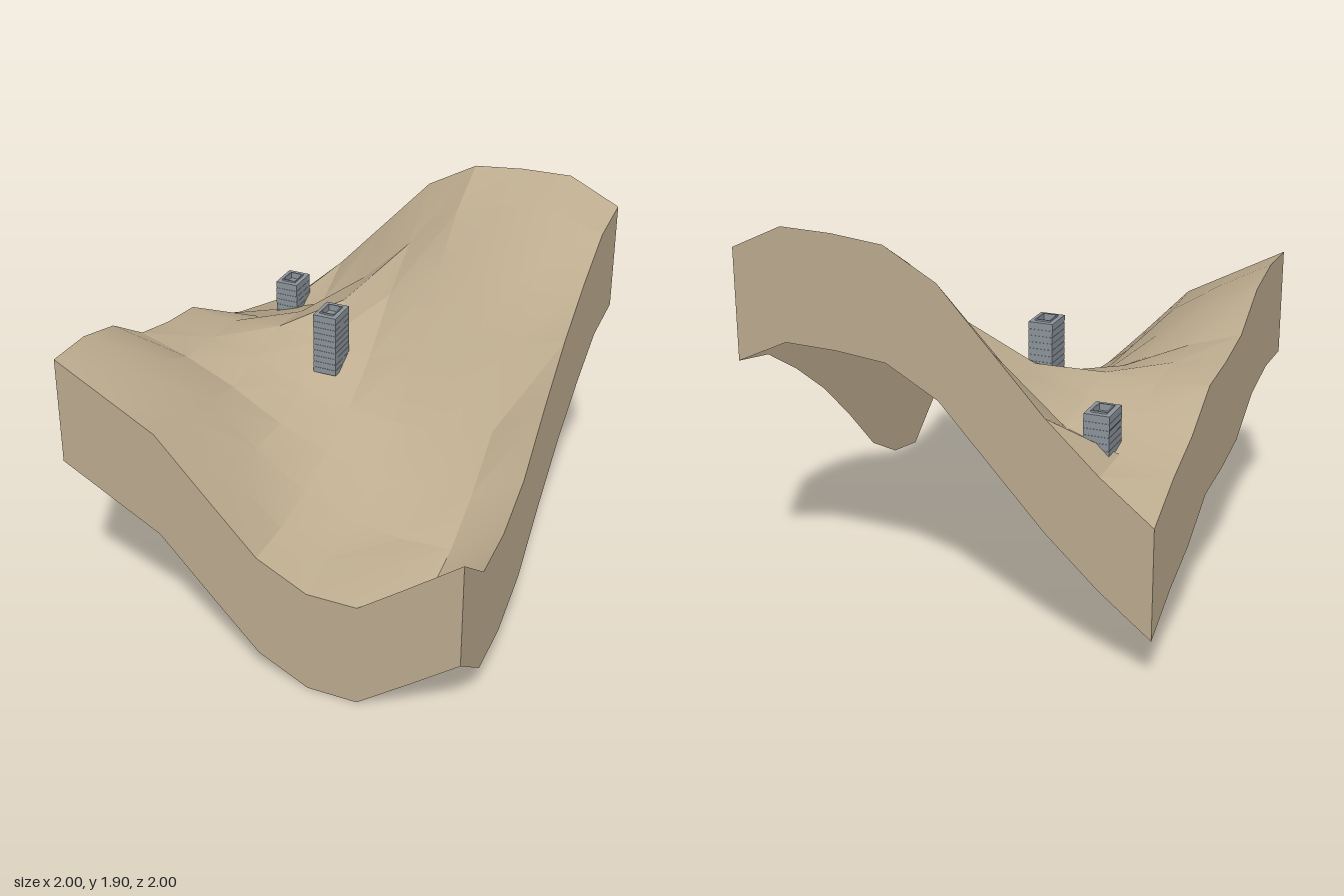
import * as THREE from 'three';
import { toCreasedNormals } from 'three/addons/utils/BufferGeometryUtils.js';

const N = 8, STEP = 0.25, SKIRT = 0.535;

// Ground heights, rows from back (z = -1) to front (z = 1), columns from x = -1 to 1
const HEIGHTS = [
  [0.765, 0.96, 1.19, 1.46, 1.73, 1.87, 1.895, 1.90, 1.78],
  [0.90, 0.97, 1.055, 1.26, 1.50, 1.72, 1.80, 1.805, 1.73],
  [1.00, 1.04, 1.12, 1.24, 1.32, 1.46, 1.54, 1.575, 1.575],
  [1.155, 1.13, 1.15, 1.12, 1.08, 1.16, 1.25, 1.32, 1.39],
  [1.185, 1.15, 1.10, 0.98, 0.91, 0.90, 0.92, 0.97, 1.16],
  [1.24, 1.16, 1.05, 0.905, 0.81, 0.73, 0.72, 0.76, 0.905],
  [1.395, 1.27, 1.10, 0.90, 0.73, 0.63, 0.60, 0.61, 0.765],
  [1.455, 1.32, 1.16, 0.90, 0.67, 0.58, 0.59, 0.535, 0.72],
  [1.455, 1.32, 1.185, 0.92, 0.66, 0.535, 0.535, 0.72, 0.91],
];

function groundGeometry() {
  const geo = new THREE.PlaneGeometry(2, 2, N, N).rotateX(-Math.PI / 2);
  const pos = geo.attributes.position;
  for (let i = 0; i < pos.count; i++) {
    pos.setY(i, HEIGHTS[Math.floor(i / (N + 1))][i % (N + 1)]);
  }
  return toCreasedNormals(geo, 0.36);
}

// Vertical strip of constant depth hanging from one edge of the ground
function skirtGeometry(cellAt) {
  const verts = [];
  const point = (i, drop) => {
    const [col, row] = cellAt(i);
    return [-1 + col * STEP, HEIGHTS[row][col] - drop, -1 + row * STEP];
  };
  for (let i = 0; i < N; i++) {
    const a = point(i, 0), b = point(i, SKIRT);
    const c = point(i + 1, SKIRT), d = point(i + 1, 0);
    verts.push(...a, ...b, ...c, ...a, ...c, ...d);
  }
  const geo = new THREE.BufferGeometry();
  geo.setAttribute('position', new THREE.Float32BufferAttribute(verts, 3));
  geo.computeVertexNormals();
  return geo;
}

// Rectangular frame lying flat, with its bottom at y
function frameGeometry(w, d, t, h, y) {
  const rect = (path, a, b) => path.moveTo(-a, -b).lineTo(a, -b).lineTo(a, b).lineTo(-a, b).closePath();
  const shape = rect(new THREE.Shape(), w / 2, d / 2);
  shape.holes.push(rect(new THREE.Path(), w / 2 - t, d / 2 - t));
  const geo = new THREE.ExtrudeGeometry(shape, { depth: h, bevelEnabled: false });
  return geo.rotateX(-Math.PI / 2).translate(0, y, 0);
}

// Stone chimney in thin courses, with a recessed top and a low inner lip
function makeChimney(name, x, z, bottom, top, stone) {
  const W = 0.12, D = 0.158, RECESS = 0.025, COURSE = 0.0315, JOINT = 0.003;
  const group = new THREE.Group();
  group.name = name;
  const add = (part, geo) => {
    const mesh = new THREE.Mesh(geo, stone);
    mesh.name = part;
    group.add(mesh);
  };
  const h = top - bottom - RECESS;
  add('chimneyCore', new THREE.BoxGeometry(W - 0.004, h, D - 0.004).translate(0, bottom + h / 2, 0));
  for (let y = bottom; y < top - COURSE / 2; y += COURSE) {
    add('stoneCourse', frameGeometry(W, D, 0.026, Math.min(COURSE - JOINT, top - y), y));
  }
  add('chimneyRim', frameGeometry(W, D, 0.026, RECESS, top - RECESS));
  add('chimneyLip', frameGeometry(0.076, 0.1, 0.006, RECESS + 0.007, top - RECESS));
  group.position.set(x, 0, z);
  return group;
}

export function createModel() {
  const model = new THREE.Group();
  model.name = 'hillside';
  const earth = new THREE.MeshStandardMaterial({ color: 0xbdac8f, side: THREE.DoubleSide });
  earth.name = 'sandy earth';
  const stone = new THREE.MeshStandardMaterial({ color: 0x8d959c });
  stone.name = 'grey stone';

  const add = (name, geo) => {
    const mesh = new THREE.Mesh(geo, earth);
    mesh.name = name;
    model.add(mesh);
  };
  add('ground', groundGeometry());

  // Side walls, open underneath
  add('frontWall', skirtGeometry((i) => [i, N]));
  add('leftWall', skirtGeometry((i) => [N, N - i]));
  add('backWall', skirtGeometry((i) => [N - i, 0]));
  add('rightWall', skirtGeometry((i) => [0, i]));

  model.add(makeChimney('tallChimney', -0.17, -0.168, 1.03, 1.345, stone));
  model.add(makeChimney('lowChimney', -0.67, -0.752, 0.98, 1.17, stone));
  return model;
}
